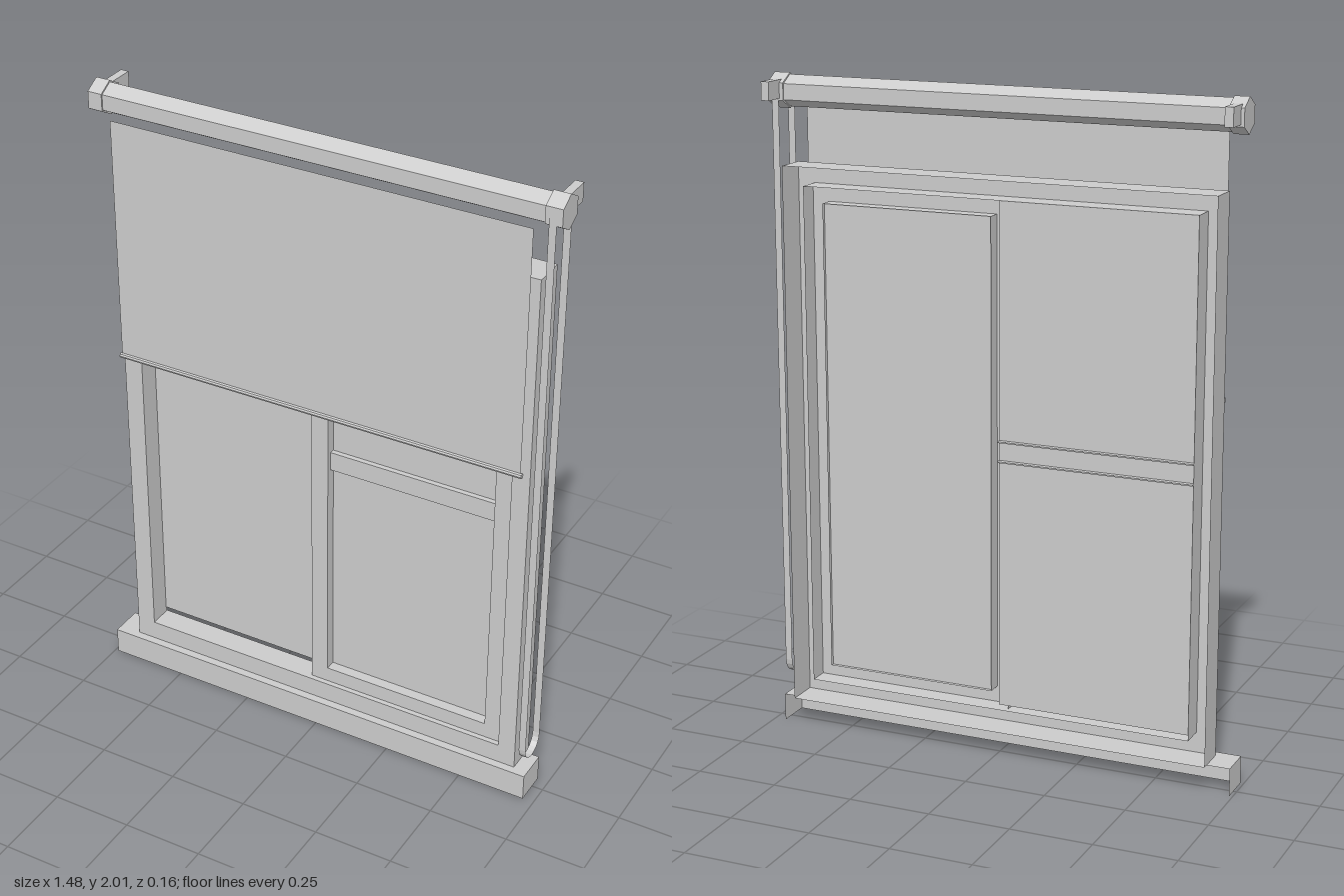
import * as THREE from 'three';

const material = new THREE.MeshStandardMaterial({ color: 0xcccccc, side: THREE.DoubleSide, flatShading: true });

function add(parent, name, geometry, x = 0, y = 0, z = 0) {
  const mesh = new THREE.Mesh(geometry, material);
  mesh.name = name;
  mesh.position.set(x, y, z);
  parent.add(mesh);
  return mesh;
}

// Box given by its limits; skipped faces (0..5 = +x -x +y -y +z -z) stay open.
function box(parent, name, [x0, x1], [y0, y1], [z0, z1], skip = []) {
  const g = new THREE.BoxGeometry(x1 - x0, y1 - y0, z1 - z0);
  const index = Array.from(g.index.array).filter((_, i) => !skip.includes(Math.floor(i / 6)));
  g.clearGroups();
  g.setIndex(index);
  return add(parent, name, g, (x0 + x1) / 2, (y0 + y1) / 2, (z0 + z1) / 2);
}

// Upright flat sheet facing the front.
function sheet(parent, name, [x0, x1], [y0, y1], z) {
  return add(parent, name, new THREE.PlaneGeometry(x1 - x0, y1 - y0), (x0 + x1) / 2, (y0 + y1) / 2, z);
}

// Folded sheet frame: joins rectangular loops [x0, x1, y0, y1, z] in order.
function foldedFrame(parent, name, loops) {
  const corners = loops.map(([x0, x1, y0, y1, z]) => [[x0, y0, z], [x1, y0, z], [x1, y1, z], [x0, y1, z]]);
  const pos = [];
  for (let i = 0; i + 1 < corners.length; i++) {
    for (let k = 0; k < 4; k++) {
      const n = (k + 1) % 4;
      const a = corners[i][k], b = corners[i][n], c = corners[i + 1][n], d = corners[i + 1][k];
      pos.push(...a, ...b, ...c, ...a, ...c, ...d);
    }
  }
  const g = new THREE.BufferGeometry();
  g.setAttribute('position', new THREE.Float32BufferAttribute(pos, 3));
  g.computeVertexNormals();
  return add(parent, name, g);
}

// Prism lying along x.
function rod(parent, name, radius, sides, [x0, x1], y, z) {
  const g = new THREE.CylinderGeometry(radius, radius, x1 - x0, sides);
  g.rotateY(Math.PI / 2);
  g.rotateZ(Math.PI / 2);
  // turn so that a corner points to the front
  const mesh = add(parent, name, g, (x0 + x1) / 2, y, z);
  return mesh;
}

// Flat band of width x0..x1 following a path of [y, z] points.
function ribbon(parent, name, [x0, x1], path) {
  const g = new THREE.PlaneGeometry(1, 1, 1, path.length - 1);
  const p = g.attributes.position;
  path.forEach(([y, z], i) => {
    p.setXYZ(2 * i, x0, y, z);
    p.setXYZ(2 * i + 1, x1, y, z);
  });
  g.computeVertexNormals();
  return add(parent, name, g);
}

export function createModel() {
  const model = new THREE.Group();
  model.name = 'windowWithRollerBlind';

  // Window: sill cover, folded outer frame, fixed pane and front sash
  const win = new THREE.Group();
  win.name = 'window';
  model.add(win);
  box(win, 'sill', [-0.74, 0.715], [0, 0.085], [-0.04, 0.065], [3, 5]);
  foldedFrame(win, 'outerFrame', [
    [-0.67, 0.67, 0.085, 1.745, -0.06],
    [-0.67, 0.67, 0.085, 1.745, 0.04],
    [-0.61, 0.615, 0.147, 1.685, 0.04],
    [-0.61, 0.615, 0.147, 1.685, -0.035],
  ]);
  sheet(win, 'leftPane', [-0.61, -0.01], [0.163, 1.685], -0.03);
  for (const y of [0.92, 0.98]) {
    box(win, 'leftCrossbarEdge', [-0.61, -0.01], [y - 0.002, y + 0.002], [-0.046, -0.03]);
  }
  foldedFrame(win, 'rightSash', [
    [-0.035, 0.614, 0.148, 1.684, -0.02],
    [-0.035, 0.614, 0.148, 1.684, 0.025],
    [0.02, 0.56, 0.197, 1.635, 0.025],
    [0.02, 0.56, 0.197, 1.635, -0.02],
  ]);
  sheet(win, 'rightPane', [0.02, 0.56], [0.197, 1.635], -0.008);
  box(win, 'rightCrossbar', [0.02, 0.56], [0.92, 0.98], [-0.008, 0.008], [5]);

  // Roller blind: hexagonal roller with end caps and wall brackets
  const blind = new THREE.Group();
  blind.name = 'rollerBlind';
  model.add(blind);
  const rollerY = 1.955, rollerZ = 0.028;
  rod(blind, 'roller', 0.047, 6, [-0.68, 0.685], rollerY, rollerZ);
  for (const [cap, bracket] of [[[-0.725, -0.68], [-0.715, -0.69]], [[0.685, 0.735], [0.697, 0.722]]]) {
    rod(blind, 'endCap', 0.052, 6, cap, rollerY, rollerZ);
    box(blind, 'wallBracket', bracket, [1.935, 1.99], [-0.08, 0.02]);
  }

  // Fabric with its hem bar
  sheet(blind, 'fabric', [-0.655, 0.655], [1.145, 1.907], 0.073);
  rod(blind, 'hemBar', 0.008, 8, [-0.66, 0.66], 1.145, 0.073);

  // Pull band: two strands joined by a half circle at the bottom
  const r = 0.048, path = [[1.95, rollerZ - r]];
  for (let i = 0; i <= 10; i++) {
    const a = (i / 10) * Math.PI;
    path.push([0.193 - r * Math.sin(a), rollerZ - r * Math.cos(a)]);
  }
  path.push([1.95, rollerZ + r]);
  ribbon(blind, 'pullBand', [0.698, 0.72], path);

  return model;
}
